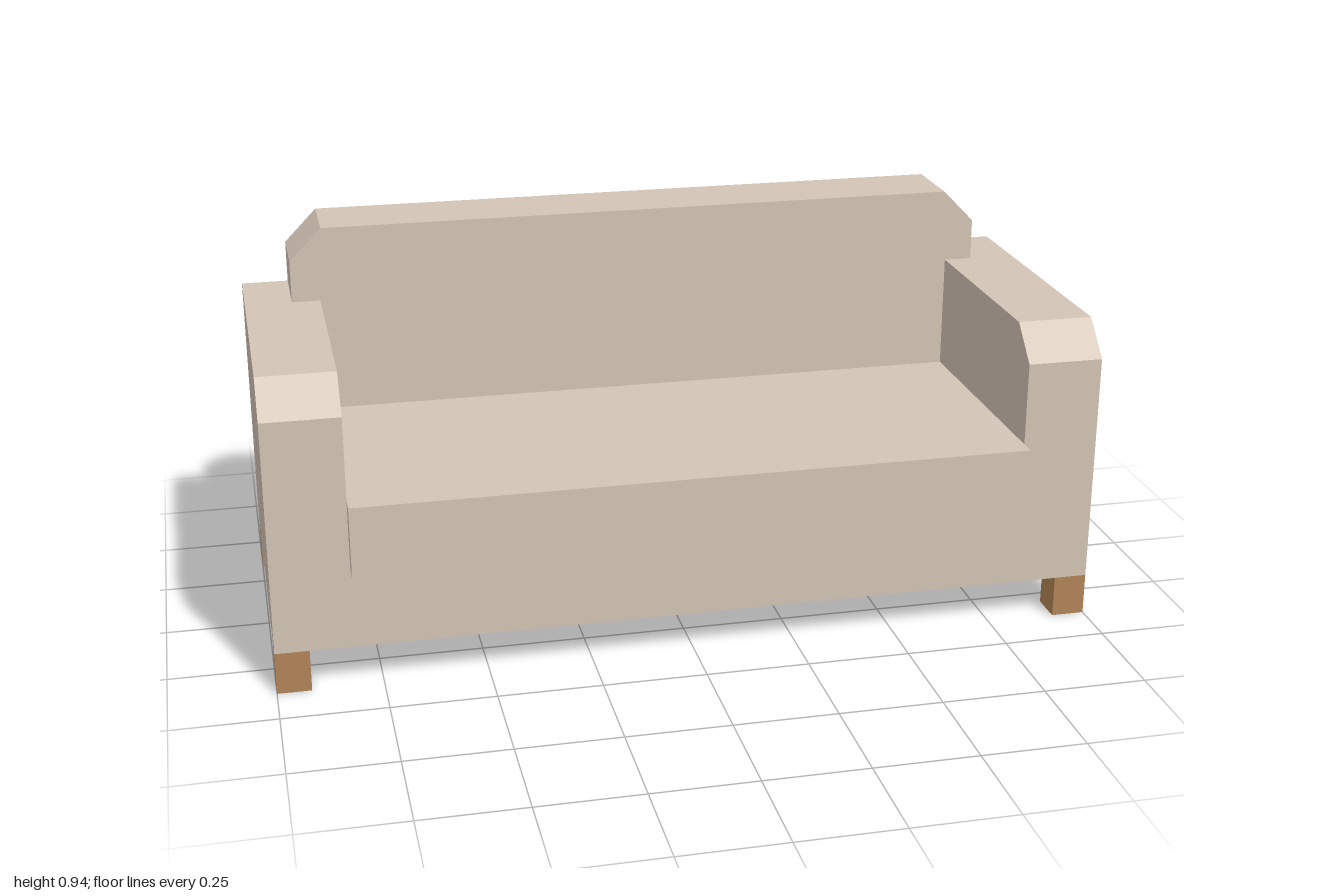
import * as THREE from 'three';

const fabric = new THREE.MeshStandardMaterial({ color: 0xd3c4b5, flatShading: true });
const wood = new THREE.MeshStandardMaterial({ color: 0xb08458, flatShading: true });

const BACK = -0.42, FRONT = 0.378; // body depth limits
const BOTTOM = 0.103, ARM_TOP = 0.755, INNER = 0.815, BACK_FRONT = -0.235;

export function createModel() {
  const sofa = new THREE.Group();
  sofa.name = 'sofa';

  const add = (name, geometry, material) => {
    const mesh = new THREE.Mesh(geometry, material);
    mesh.name = name;
    sofa.add(mesh);
    return mesh;
  };
  // Box given by its limits on each axis
  const box = (name, [x0, x1], [y0, y1], [z0, z1], material) =>
    add(name, new THREE.BoxGeometry(x1 - x0, y1 - y0, z1 - z0), material)
      .position.set((x0 + x1) / 2, (y0 + y1) / 2, (z0 + z1) / 2);
  const extrude = (points, depth) => new THREE.ExtrudeGeometry(
    new THREE.Shape(points.map(([x, y]) => new THREE.Vector2(x, y))),
    { depth, bevelEnabled: false });

  // Base and the cushion resting on it
  box('base', [-INNER, INNER], [BOTTOM, 0.298], [BACK, FRONT], fabric);
  box('seatCushion', [-INNER, INNER], [0.298, 0.47], [BACK_FRONT, 0.42], fabric);

  // Backrest: chamfered top corners, stepped out over the arms
  const half = [[INNER, 0.298], [INNER, ARM_TOP], [0.885, ARM_TOP], [0.885, 0.858], [0.805, 0.94]];
  const outline = [...half, ...half.map(([x, y]) => [-x, y]).reverse()];
  add('backrest', extrude(outline, BACK_FRONT - BACK), fabric).position.z = BACK;

  // Arms: side profile (z, y) with a chamfered front edge, swept across x
  const armProfile = [[BACK, BOTTOM], [FRONT, BOTTOM], [FRONT, 0.674], [0.297, ARM_TOP], [BACK, ARM_TOP]];
  for (const [name, outerX] of [['leftArm', 1], ['rightArm', -INNER]]) {
    add(name, extrude(armProfile, 1 - INNER).rotateY(-Math.PI / 2), fabric).position.x = outerX;
  }

  // Four square legs flush with the body corners
  const leg = 0.081;
  for (const [side, x] of [['Left', 1 - leg], ['Right', -1]]) {
    for (const [end, z] of [['front', FRONT - leg], ['back', BACK]]) {
      box(`${end}${side}Leg`, [x, x + leg], [0, BOTTOM], [z, z + leg], wood);
    }
  }
  return sofa;
}
